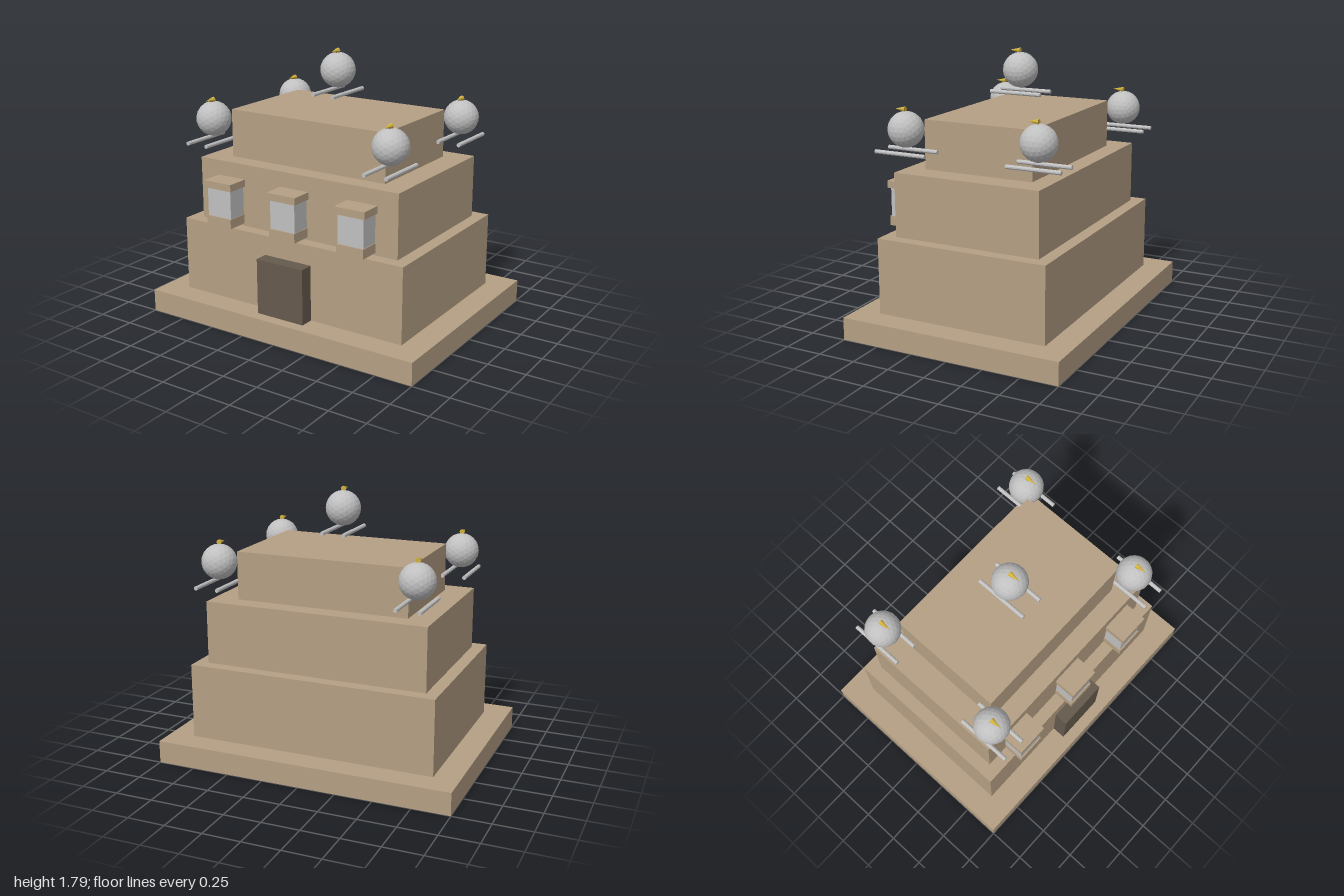
import * as THREE from 'three';

const material = (name, color, flatShading = false) => {
  const m = new THREE.MeshStandardMaterial({ color, flatShading });
  m.name = name;
  return m;
};

export function createModel() {
  const model = new THREE.Group();
  model.name = 'steppedFort';
  const sandstone = material('sandstone', 0xb59f84);
  const darkWood = material('darkWood', 0x655a4d);
  const silver = material('silver', 0xc0c0c0, true);
  const gold = material('gold', 0xd0b040, true);

  const add = (parent, name, geometry, mat, x, y, z) => {
    const mesh = new THREE.Mesh(geometry, mat);
    mesh.name = name;
    mesh.position.set(x, y, z);
    parent.add(mesh);
    return mesh;
  };
  // Box given by its width, bottom and top heights, back and front depths
  const block = (parent, name, mat, x, w, y0, y1, z0, z1) =>
    add(parent, name, new THREE.BoxGeometry(w, y1 - y0, z1 - z0), mat, x, (y0 + y1) / 2, (z0 + z1) / 2);

  // Stepped building
  block(model, 'foundation', sandstone, 0, 2, 0, 0.15, -0.75, 0.75);
  block(model, 'lowerTier', sandstone, 0, 1.667, 0.15, 0.65, -0.583, 0.583);
  block(model, 'middleTier', sandstone, 0, 1.5, 0.65, 1.067, -0.5, 0.5);
  block(model, 'upperTier', sandstone, 0, 1.167, 1.067, 1.385, -0.375, 0.375);
  block(model, 'door', darkWood, 0, 0.35, 0.15, 0.52, 0.583, 0.675);

  // Projecting bay windows
  for (const x of [-0.5, 0, 0.5]) {
    const bay = new THREE.Group();
    bay.name = 'bayWindow';
    block(bay, 'windowSill', sandstone, x, 0.193, 0.668, 0.73, 0.5, 0.643);
    block(bay, 'windowPane', silver, x, 0.184, 0.73, 0.92, 0.5, 0.633);
    block(bay, 'windowHood', sandstone, x, 0.215, 0.92, 0.967, 0.5, 0.65);
    model.add(bay);
  }

  // Floating globes, each with a forward pointer and a pair of rails
  const globeGeo = new THREE.IcosahedronGeometry(0.115, 3);
  const pointerGeo = new THREE.ConeGeometry(0.018, 0.075, 8).rotateX(Math.PI / 2);
  const railGeo = new THREE.CylinderGeometry(0.0135, 0.0135, 0.36, 10).rotateX(Math.PI / 2);
  const sentry = (x, y, z) => {
    const group = new THREE.Group();
    group.name = 'sentry';
    group.position.set(x, y, z);
    add(group, 'globe', globeGeo, silver, 0, 0, 0);
    add(group, 'pointer', pointerGeo, gold, 0, 0.125, 0.0375);
    for (const side of [-1, 1]) add(group, 'rail', railGeo, silver, side * 0.075, -0.143, 0);
    model.add(group);
  };
  sentry(0, 1.647, 0);
  for (const sx of [-1, 1]) for (const sz of [-1, 1]) sentry(sx * 0.667, 1.33, sz * 0.458);

  return model;
}
